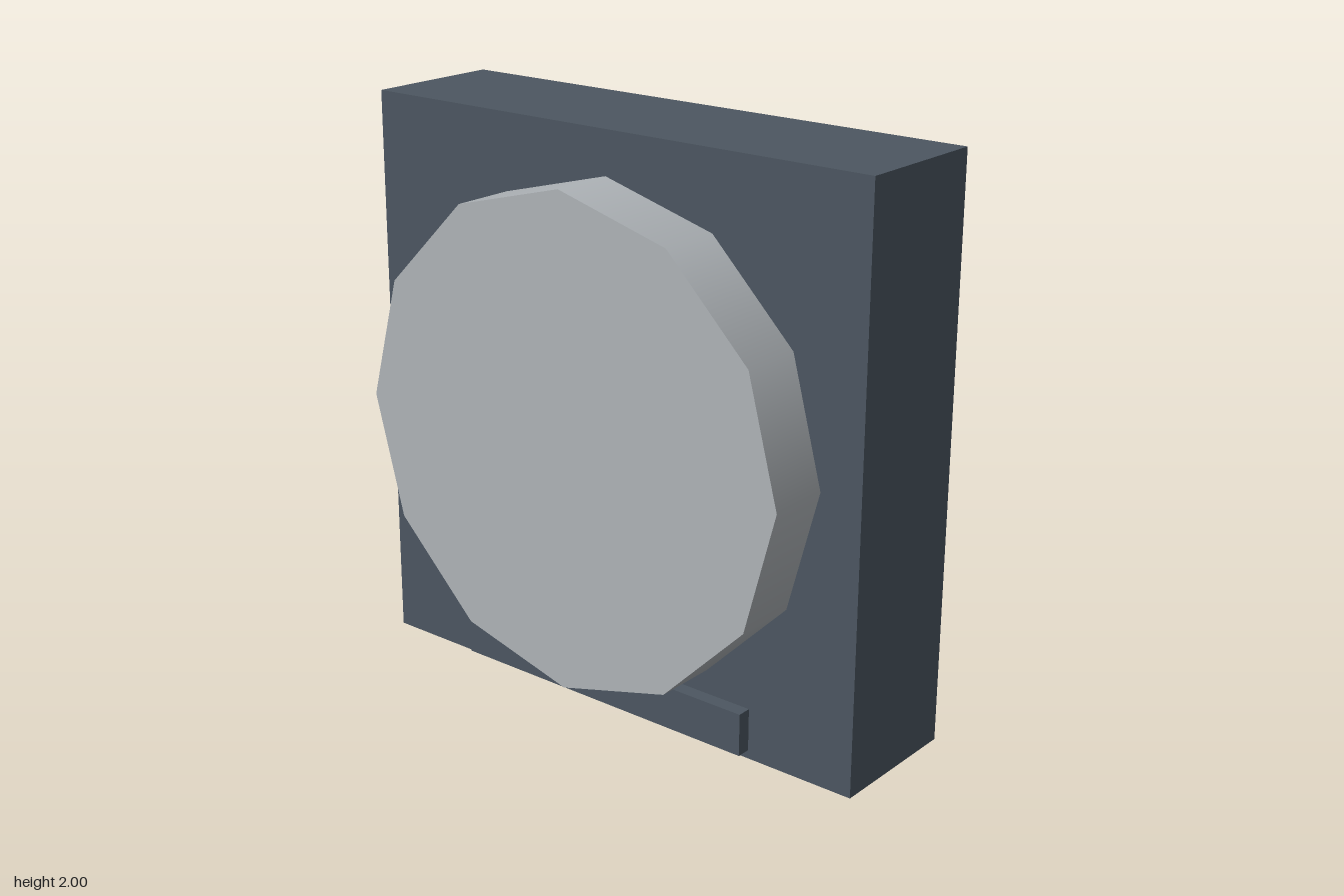
import * as THREE from 'three';

export function createModel() {
  const model = new THREE.Group();
  const slate = new THREE.MeshStandardMaterial({ color: 0x4c5661 });
  slate.name = 'slate grey';
  const silver = new THREE.MeshStandardMaterial({ color: 0xaeb3b7 });
  silver.name = 'light grey';

  const add = (name, geometry, material, x, y, z) => {
    const mesh = new THREE.Mesh(geometry, material);
    mesh.name = name;
    mesh.position.set(x, y, z);
    model.add(mesh);
    return mesh;
  };

  // Square housing
  const front = 0.1375;
  add('housing', new THREE.BoxGeometry(2, 2, 0.5), slate, 0, 1, front - 0.25);

  // Twelve-sided disc with a smooth rim, a corner pointing straight up
  const depth = 0.225;
  const disc = new THREE.CylinderGeometry(0.85, 0.85, depth, 12).rotateX(Math.PI / 2);
  add('disc', disc, silver, 0, 1, front + depth / 2);

  // Low bar under the disc
  add('lowerBar', new THREE.BoxGeometry(1.2, 0.15, 0.1), slate, 0, 0.105, front);

  return model;
}
